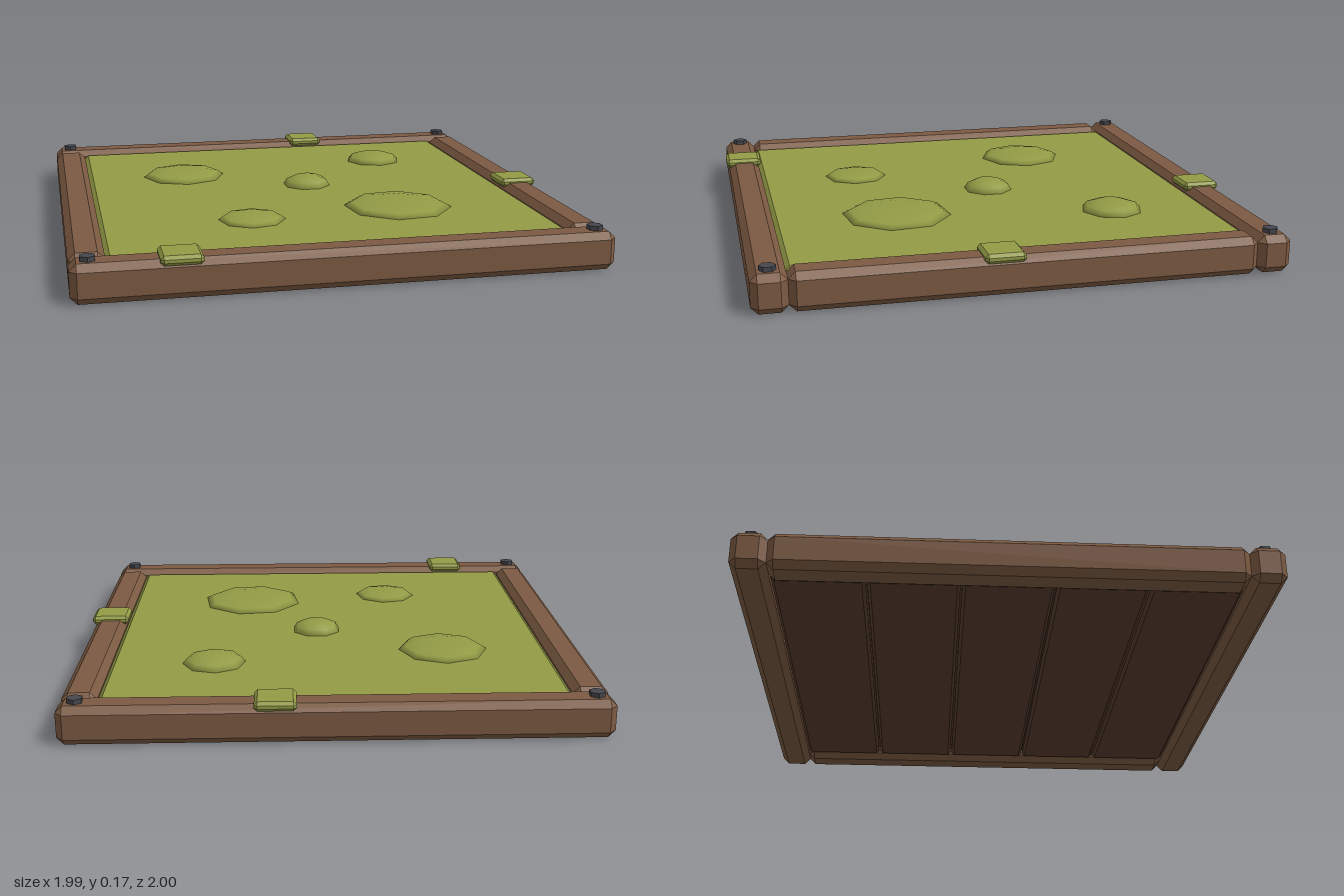
import * as THREE from 'three';
import { ConvexGeometry } from 'three/addons/geometries/ConvexGeometry.js';

const wood = new THREE.MeshStandardMaterial({ name: 'wood', color: 0x7c5a42 });
const darkWood = new THREE.MeshStandardMaterial({ name: 'darkWood', color: 0x5a3e30 });
const moss = new THREE.MeshStandardMaterial({ name: 'moss', color: 0x939c46 });
const iron = new THREE.MeshStandardMaterial({ name: 'iron', color: 0x45464c });

// Box with every edge cut by c
function chamferBox(w, h, d, c) {
  const points = [];
  for (const x of [-1, 1]) for (const y of [-1, 1]) for (const z of [-1, 1]) {
    for (let keep = 0; keep < 3; keep++) {
      const cut = [0, 1, 2].map((axis) => (axis === keep ? 0 : c));
      points.push(new THREE.Vector3(x * (w / 2 - cut[0]), y * (h / 2 - cut[1]), z * (d / 2 - cut[2])));
    }
  }
  return new ConvexGeometry(points);
}

export function createModel() {
  const model = new THREE.Group();
  model.name = 'mossTile';
  model.position.x = -0.006;
  const root = new THREE.Group();
  root.name = 'tile';
  model.add(root);

  const add = (name, geometry, material, x, y, z) => {
    const mesh = new THREE.Mesh(geometry, material);
    mesh.name = name;
    mesh.position.set(x, y, z);
    root.add(mesh);
    return mesh;
  };

  // Frame beams and corner bolts
  const longBeam = chamferBox(1.976, 0.144, 0.13, 0.026);
  const sideBeam = chamferBox(0.13, 0.144, 1.716, 0.026);
  const boltHead = new THREE.CylinderGeometry(0.03, 0.03, 0.03, 6).toNonIndexed();
  boltHead.computeVertexNormals();
  for (const s of [-1, 1]) {
    add(s > 0 ? 'frontBeam' : 'backBeam', longBeam, wood, 0, 0.072, s * 0.923);
    add(s > 0 ? 'leftBeam' : 'rightBeam', sideBeam, wood, s * 0.923, 0.072, 0);
    for (const t of [-1, 1]) add('bolt', boltHead, iron, s * 0.923, 0.146, t * 0.923);
  }

  // Underside planks, running left to right
  const count = 5, pitch = 1.716 / count;
  const plank = chamferBox(1.716, 0.06, pitch - 0.006, 0.012);
  for (let i = 0; i < count; i++) {
    add('plank', plank, darkWood, 0, 0.05, (i - (count - 1) / 2) * pitch);
  }
  add('plankBacking', new THREE.BoxGeometry(1.71, 0.02, 1.71), darkWood, 0, 0.065, 0);

  // Moss bed inside the frame
  add('mossBed', chamferBox(1.716, 0.055, 1.716, 0.016), moss, 0, 0.0975, 0);

  // Low mounds: x, z, radius, height, turn in degrees
  const dome = new THREE.SphereGeometry(1, 8, 6);
  const mounds = [
    [-0.445, -0.335, 0.176, 0.032, 0],
    [0.459, -0.468, 0.122, 0.04, 5],
    [0.052, -0.06, 0.1, 0.045, 22.5],
    [-0.276, 0.456, 0.13, 0.026, -8],
    [0.33, 0.378, 0.215, 0.03, -15],
  ];
  for (const [x, z, r, h, turn] of mounds) {
    const mound = add('mossMound', dome, moss, x, 0.126, z);
    mound.scale.set(r, h, r);
    mound.rotation.y = THREE.MathUtils.degToRad(turn);
  }

  // Moss pads lying over the beams
  const pad = chamferBox(0.15, 0.036, 0.15, 0.012);
  for (const [x, z] of [[-0.607, 0.925], [0.22, -0.925], [0.925, 0.105]]) {
    add('mossPad', pad, moss, x, 0.143, z);
  }

  return model;
}
